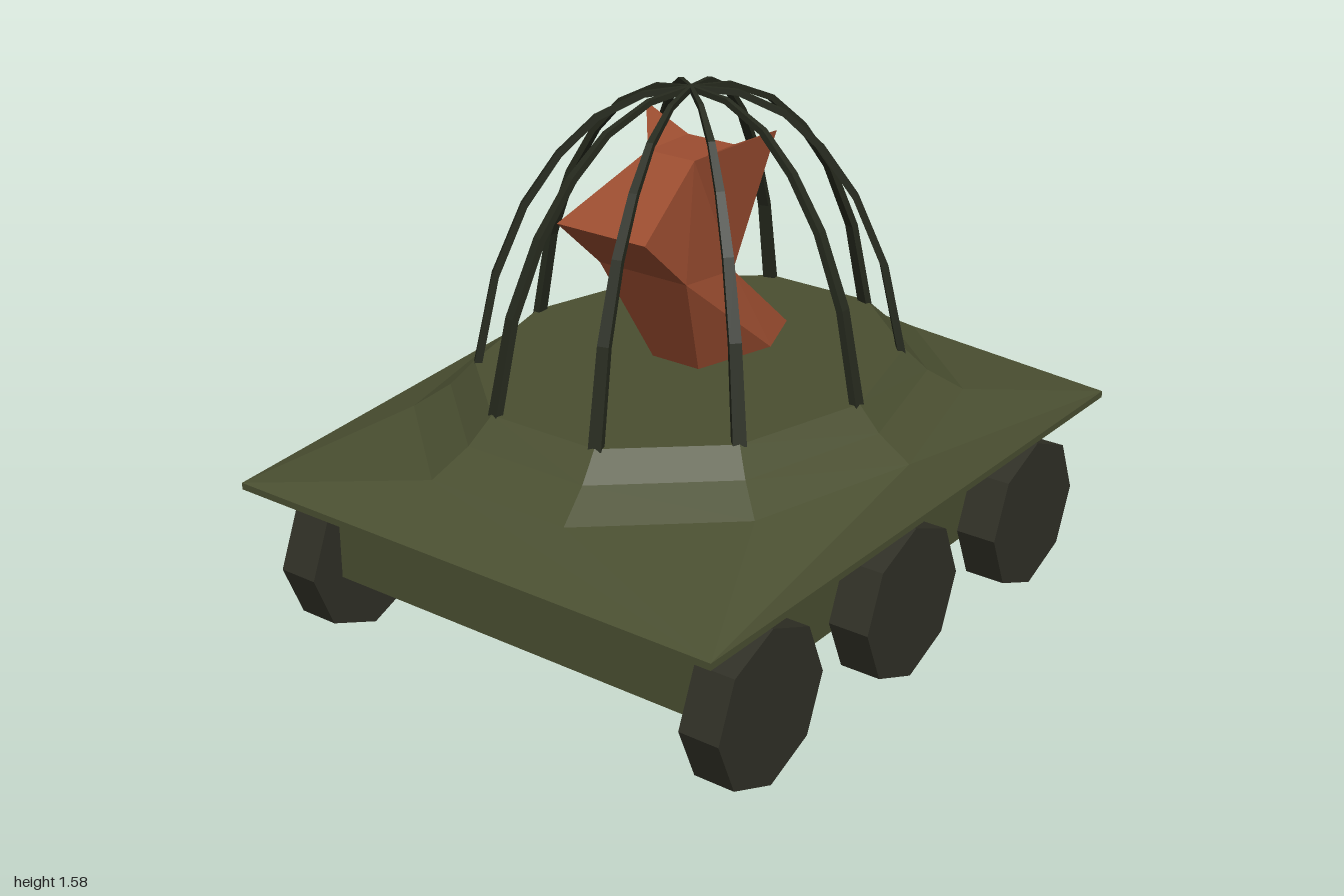
import * as THREE from 'three';

const mat = (name, color) => {
  const m = new THREE.MeshStandardMaterial({ color, flatShading: true });
  m.name = name;
  return m;
};

// Flat-shaded geometry from a list of triangles, each three Vector3 corners
function fromTriangles(tris) {
  const g = new THREE.BufferGeometry().setFromPoints(tris.flat());
  g.computeVertexNormals();
  return g;
}

const V = (x, y, z) => new THREE.Vector3(x, y, z);
const SIDES = 10;
const RX = 0.575, RZ = 0.69, DECK_Y = 0.785;

// Sloped upper hull: decagonal rings that spread out to the four hull corners
function deckGeometry() {
  const ring = (rx, rz, y) => Array.from({ length: SIDES }, (_, k) => {
    const a = (k / SIDES) * Math.PI * 2;
    return V(rx * Math.cos(a), y, rz * Math.sin(a));
  });
  const corners = [[1, 1], [1, 1], [1, 1], [-1, 1], [-1, 1], [-1, -1], [-1, -1], [-1, -1], [1, -1], [1, -1]]
    .map(([sx, sz]) => V(0.81 * sx, 0.53, sz));
  const rings = [ring(RX, RZ, DECK_Y), ring(0.64, 0.77, 0.715), ring(0.74, 0.89, 0.65), corners];
  const tris = [];
  for (let k = 0; k < SIDES; k++) {
    const n = (k + 1) % SIDES;
    tris.push([V(0, DECK_Y, 0), rings[0][n], rings[0][k]]);
    for (let i = 0; i < 3; i++) {
      const a = rings[i], b = rings[i + 1];
      tris.push([a[k], a[n], b[k]]);
      if (!b[n].equals(b[k])) tris.push([a[n], b[n], b[k]]);
    }
  }
  return fromTriangles(tris);
}

// One curved cage bar with a rectangular section, tapering toward the apex
function ribGeometry(angle) {
  const profile = [[0.985, 0.775], [0.89, 1.045], [0.75, 1.25], [0.59, 1.395], [0.42, 1.497], [0.21, 1.56], [0, 1.575]];
  const foot = V(RX * Math.cos(angle), 0, RZ * Math.sin(angle));
  const dir = foot.clone().normalize();
  const path = profile.map(([s, y]) => foot.clone().multiplyScalar(s).setY(y));
  const last = path.length - 1;
  const sections = path.map((p, i) => {
    const t = path[Math.min(i + 1, last)].clone().sub(path[Math.max(i - 1, 0)]).normalize();
    const out = dir.clone().multiplyScalar(t.y).add(V(0, -t.dot(dir), 0)).normalize();
    const side = t.clone().cross(out);
    const f = i / last;
    out.multiplyScalar(THREE.MathUtils.lerp(0.011, 0.008, f));
    side.multiplyScalar(THREE.MathUtils.lerp(0.019, 0.005, f));
    return [[1, 1], [-1, 1], [-1, -1], [1, -1]].map(([a, b]) =>
      p.clone().addScaledVector(out, a).addScaledVector(side, b));
  });
  const tris = [];
  for (let i = 0; i < last; i++) {
    const a = sections[i], b = sections[i + 1];
    for (let j = 0; j < 4; j++) {
      const n = (j + 1) % 4;
      tris.push([a[j], a[n], b[n]], [a[j], b[n], b[j]]);
    }
  }
  return fromTriangles(tris);
}

// Faceted creature: one half given, the other mirrored, the middle bridged
function pilotGeometry() {
  const left = [
    V(0.15, 1.265, 0.40),   // 0 snout
    V(0.15, 1.10, 0.22),    // 1 chin
    V(0.08, 1.405, 0.09),   // 2 brow
    V(0.225, 1.475, -0.09), // 3 ear tip
    V(0.08, 1.405, -0.095), // 4 crown
    V(0.075, 1.03, -0.10),  // 5 nape
    V(0.15, 0.78, -0.19),   // 6 hip
    V(0.08, 0.78, 0.07),    // 7 chest base
    V(0.075, 0.78, -0.38),  // 8 tail
  ];
  const right = left.map((p) => V(-p.x, p.y, p.z));
  const sideFaces = [[2, 0, 1], [2, 1, 5], [2, 5, 3], [1, 6, 5], [1, 7, 6], [5, 6, 8], [2, 3, 4], [4, 3, 5]];
  const tris = [];
  for (const [a, b, c] of sideFaces) {
    tris.push([left[a], left[b], left[c]], [right[a], right[c], right[b]]);
  }
  const spine = [7, 1, 0, 2, 4, 5, 8];
  for (let i = 0; i < spine.length - 1; i++) {
    const a = spine[i], b = spine[i + 1];
    tris.push([right[a], left[a], left[b]], [right[a], left[b], right[b]]);
  }
  return fromTriangles(tris);
}

export function createModel() {
  const model = new THREE.Group();
  model.name = 'cagedRover';
  const olive = mat('olive hull', 0x4a4f31);
  const rubber = mat('dark wheel', 0x303026);
  const iron = mat('cage iron', 0x262a1e);
  const rust = mat('rust skin', 0x9c4d30);

  const add = (name, geometry, material, parent = model) => {
    const mesh = new THREE.Mesh(geometry, material);
    mesh.name = name;
    parent.add(mesh);
    return mesh;
  };

  // Hull
  add('chassis', new THREE.BoxGeometry(1.29, 0.315, 1.6), olive).position.y = 0.3575;
  add('hullRim', new THREE.BoxGeometry(1.62, 0.02, 2), olive).position.y = 0.52;
  add('deck', deckGeometry(), olive);

  // Six octagonal wheels
  const wheelGeometry = new THREE.CylinderGeometry(0.232, 0.232, 0.125, 8).rotateZ(Math.PI / 2);
  const wheels = new THREE.Group();
  wheels.name = 'wheels';
  model.add(wheels);
  for (const side of [1, -1]) {
    for (const z of [-0.68, 0, 0.68]) {
      const name = side > 0 ? 'leftWheel' : 'rightWheel';
      add(name, wheelGeometry, rubber, wheels).position.set(side * 0.7075, 0.232, z);
    }
  }

  // Domed cage
  const cage = new THREE.Group();
  cage.name = 'cage';
  model.add(cage);
  for (let k = 0; k < SIDES; k++) add('cageRib', ribGeometry((k / SIDES) * Math.PI * 2), iron, cage);

  add('pilot', pilotGeometry(), rust);
  return model;
}
